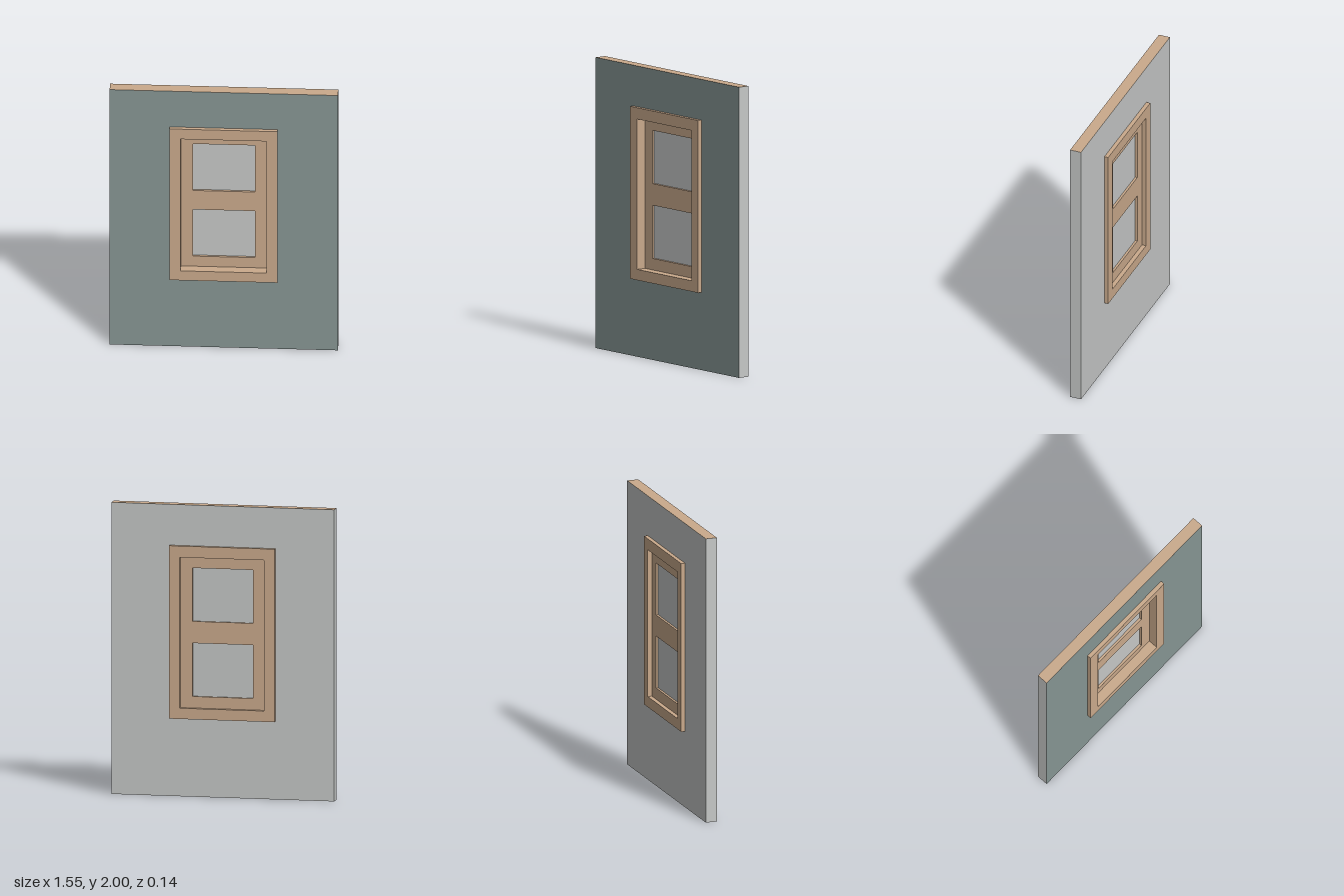
import * as THREE from 'three';

const material = (name, color) => {
  const m = new THREE.MeshStandardMaterial({ color });
  m.name = name;
  return m;
};

// Rectangle corners, symmetric in x
const rect = (halfWidth, y0, y1) => [
  new THREE.Vector2(-halfWidth, y0), new THREE.Vector2(halfWidth, y0),
  new THREE.Vector2(halfWidth, y1), new THREE.Vector2(-halfWidth, y1),
];

// Flat panel with rectangular openings, between depths z0 and z1
function panel(outer, openings, z0, z1) {
  const shape = new THREE.Shape(outer);
  openings.forEach((o) => shape.holes.push(new THREE.Path(o)));
  const geo = new THREE.ExtrudeGeometry(shape, { depth: z1 - z0, bevelEnabled: false });
  return geo.translate(0, 0, z0);
}

// Regroup faces: 0 = front, 1 = back and ends, 2 = top and bottom
function groupByDirection(geo) {
  const n = geo.attributes.normal;
  geo.clearGroups();
  for (let i = 0; i < n.count; i += 3) {
    const index = n.getZ(i) > 0.5 ? 0 : Math.abs(n.getY(i)) > 0.5 ? 2 : 1;
    geo.addGroup(i, 3, index);
  }
  return geo;
}

export function createModel() {
  const wood = material('wood', 0xcaaa8c);
  const siding = material('exterior paint', 0x869593);
  const pale = material('pale grey', 0xc6c8c7);

  const model = new THREE.Group();
  model.name = 'wallWithWindow';
  const add = (name, geo, mat, parent = model) => {
    const mesh = new THREE.Mesh(geo, mat);
    mesh.name = name;
    parent.add(mesh);
  };

  // Wall: painted front, pale back and ends, wooden top and bottom plates
  const wall = panel(rect(0.775, 0, 2), [rect(0.33, 0.57, 1.68)], -0.04, 0.04);
  add('wall', groupByDirection(wall), [siding, pale, wood]);

  const sashWindow = new THREE.Group();
  sashWindow.name = 'window';
  model.add(sashWindow);

  // Casing standing proud of both wall faces
  add('casing', panel(rect(0.367, 0.534, 1.72), [rect(0.293, 0.608, 1.642)], -0.068, 0.068), wood, sashWindow);

  // Sash set toward the back, with an upper and a lower pane
  const panes = [['lowerPane', 0.687, 1.053], ['upperPane', 1.202, 1.568]];
  const openings = panes.map(([, y0, y1]) => rect(0.212, y0, y1));
  add('sash', panel(rect(0.293, 0.608, 1.642), openings, -0.038, 0), wood, sashWindow);
  for (const [name, y0, y1] of panes) {
    add(name, panel(rect(0.212, y0, y1), [], -0.022, -0.016), pale, sashWindow);
  }

  return model;
}
